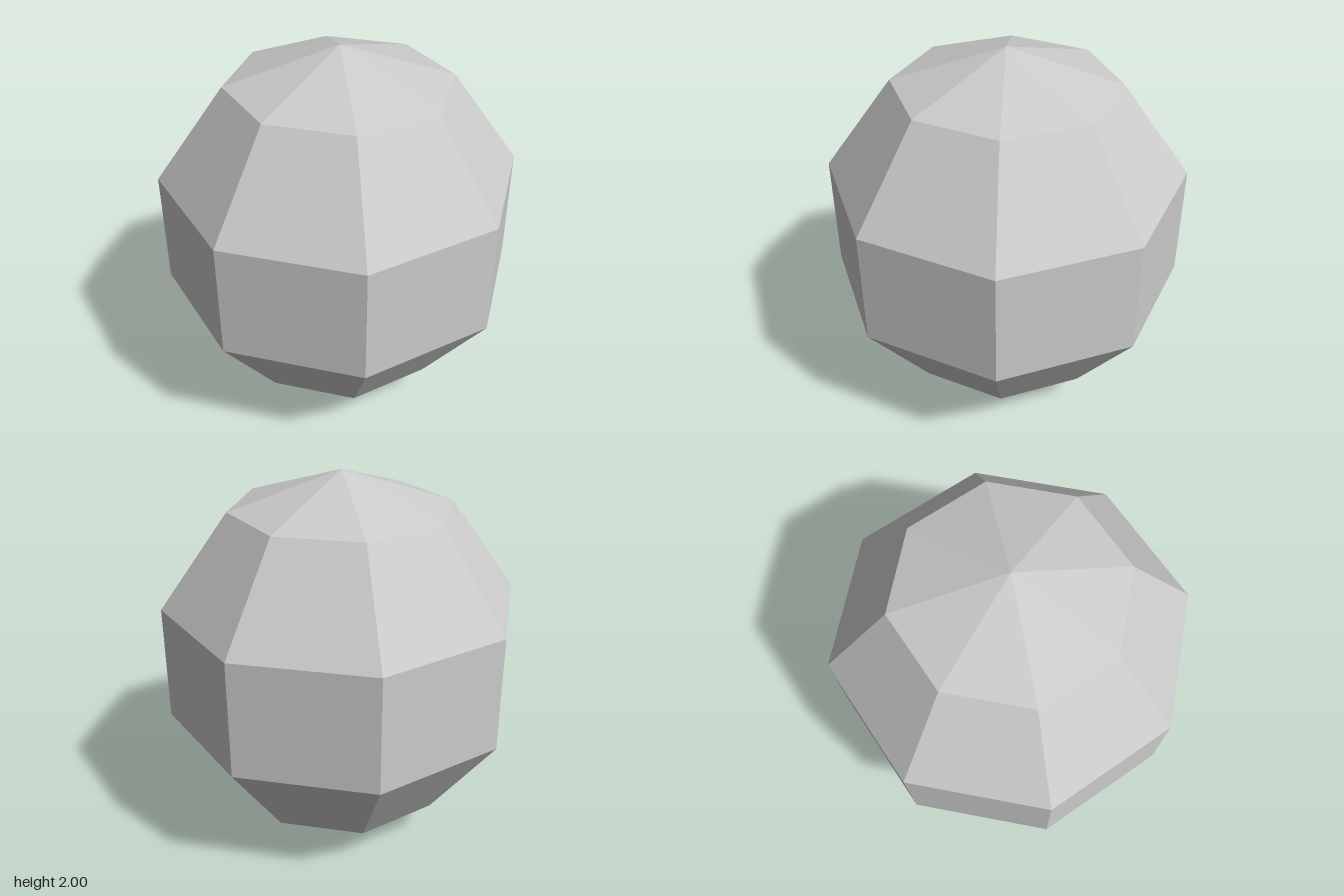
import * as THREE from 'three';

export function createModel() {
  const model = new THREE.Group();
  model.name = 'lowPolyBall';

  // Faceted ball: eight sides around, five bands from pole to pole
  const radius = 1;
  const ball = new THREE.Mesh(
    new THREE.SphereGeometry(radius, 8, 5),
    new THREE.MeshStandardMaterial({ color: 0xcccccc, flatShading: true })
  );
  ball.name = 'ball';
  ball.position.y = radius; // lower pole rests on the ground
  model.add(ball);

  return model;
}
